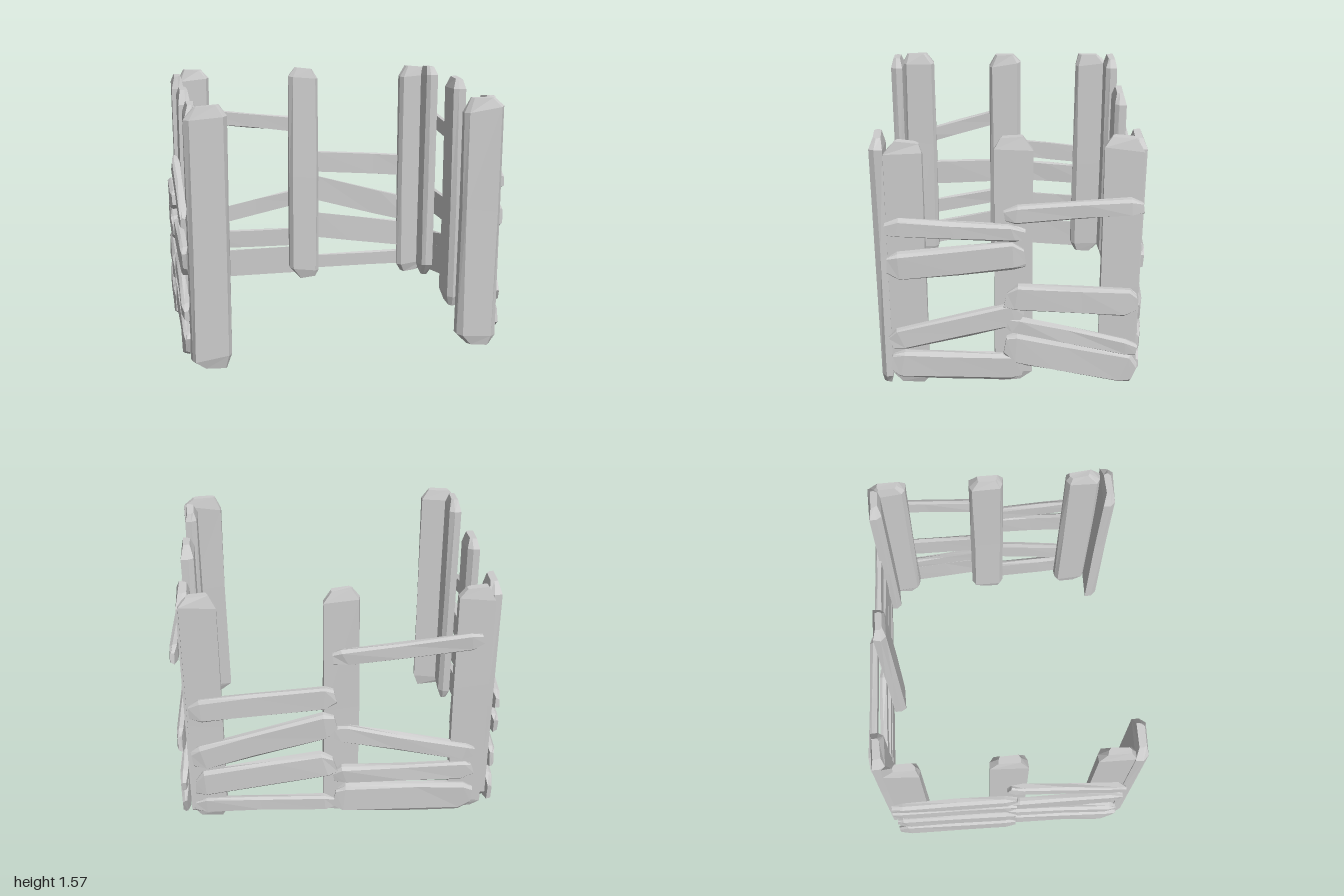
import * as THREE from 'three';

const material = new THREE.MeshStandardMaterial({ color: 0xcccccc, flatShading: true });

// Small seeded generator for the hewn irregularity, in -1..1
let seed = 7;
function rnd() {
  seed = (seed * 16807) % 2147483647;
  return (seed / 2147483647) * 2 - 1;
}

// Cross-section (across the width, along the facing normal): flat back, bevelled face
const PROFILE = [[-0.5, -0.5], [0.5, -0.5], [0.5, 0.1], [0.4, 0.5], [-0.4, 0.5], [-0.5, 0.1]];
const TIP = 0.07;

// Rough timber from start to end with tapered tips; `facing` is the bevelled side
function timber(name, start, end, width, thick, facing) {
  const u = end.clone().sub(start), len = u.length();
  u.normalize();
  const n = facing.clone().addScaledVector(u, -facing.dot(u)).normalize();
  const v = n.clone().cross(u);

  // Rings: tip, shoulder, middle, shoulder, tip
  const verts = [], index = [], k = PROFILE.length;
  [0, TIP, len * (0.5 + 0.1 * rnd()), len - TIP, len].forEach((d, r) => {
    const isTip = r % 4 === 0;
    const scale = isTip ? 0.58 : 1;
    const shift = isTip ? rnd() * width * 0.12 : 0;
    const slant = rnd() * 0.04;
    for (const [pv, pn] of PROFILE) {
      const p = start.clone()
        .addScaledVector(u, THREE.MathUtils.clamp(d + slant * pv, 0, len))
        .addScaledVector(v, pv * width * scale + shift + rnd() * 0.006)
        .addScaledVector(n, pn * thick * scale + rnd() * 0.004);
      verts.push(p.x, p.y, p.z);
    }
  });

  // Sides, then the two end caps
  const last = 4 * k;
  for (let p = 0; p < last; p++) {
    const q = p % k === k - 1 ? p + 1 - k : p + 1;
    index.push(p, q, q + k, p, q + k, p + k);
  }
  for (let j = 1; j < k - 1; j++) {
    index.push(0, j + 1, j, last, last + j, last + j + 1);
  }
  const geometry = new THREE.BufferGeometry();
  geometry.setAttribute('position', new THREE.Float32BufferAttribute(verts, 3));
  geometry.setIndex(index);
  geometry.computeVertexNormals();
  const mesh = new THREE.Mesh(geometry, material);
  mesh.name = name;
  return mesh;
}

export function createModel() {
  seed = 7;
  const model = new THREE.Group();
  model.name = 'plankPen';
  const vec = (x, y, z) => new THREE.Vector3(x, y, z);

  const addPost = (name, x, z, width, facing) => {
    const foot = vec(x, 0.01 + 0.01 * rnd(), z);
    const top = vec(x, 1.555 + 0.012 * rnd(), z);
    model.add(timber(name, foot, top, width, 0.075, facing));
  };

  // Uprights: a pair at every corner, one in the middle of each wall
  for (const side of [-1, 1]) {
    addPost('frontPost', side * 0.81, 0.755, 0.24, vec(0, 0, 1));
    addPost('backPost', side * 0.79 + 0.02, -0.71 + side * 0.02, 0.21, vec(0, 0, 1));
    for (const z of [0.615, 0.005, -0.605]) {
      addPost('sidePost', side * 0.885, z, 0.215, vec(-side, 0, 0));
    }
  }
  addPost('backMiddlePost', 0, -0.69, 0.21, vec(0, 0, 1));

  // One bay of rails between two ground points; each rail is [start height, end height, width]
  const addBay = (name, [x0, z0], [x1, z1], facing, rails) => {
    for (const [y0, y1, width] of rails) {
      model.add(timber(name, vec(x0, y0, z0), vec(x1, y1, z1), width, 0.045, facing));
    }
  };

  // Left wall, front bay then back bay
  addBay('leftFrontRail', [0.952, 0.73], [0.94, -0.06], vec(1, 0, 0),
    [[1.055, 1, 0.1], [0.805, 0.87, 0.17], [0.32, 0.5, 0.14], [0.17, 0.13, 0.17]]);
  addBay('leftBackRail', [0.945, 0.06], [0.965, -0.72], vec(1, 0, 0),
    [[1.115, 1.17, 0.1], [0.6, 0.56, 0.17], [0.43, 0.25, 0.1], [0.27, 0.11, 0.2]]);

  // Right wall
  addBay('rightFrontRail', [-0.95, 0.73], [-0.95, 0], vec(-1, 0, 0),
    [[0.88, 1.09, 0.1], [0.64, 0.65, 0.17], [0.33, 0.46, 0.1], [0.12, 0.25, 0.17]]);
  addBay('rightBackRail', [-0.965, 0.06], [-0.945, -0.73], vec(-1, 0, 0),
    [[0.84, 0.75, 0.12], [0.66, 0.59, 0.14], [0.39, 0.33, 0.17], [0.16, 0.11, 0.19]]);

  // Back wall
  addBay('backRightRail', [-0.82, -0.78], [0.05, -0.755], vec(0, 0, -1),
    [[1.235, 1.135, 0.1], [0.44, 0.63, 0.11], [0.315, 0.305, 0.12], [0.12, 0.13, 0.2]]);
  addBay('backLeftRail', [0.03, -0.755], [0.9, -0.73], vec(0, 0, -1),
    [[0.875, 0.8, 0.15], [0.69, 0.45, 0.17], [0.4, 0.27, 0.18], [0.105, 0.115, 0.1]]);

  return model;
}
